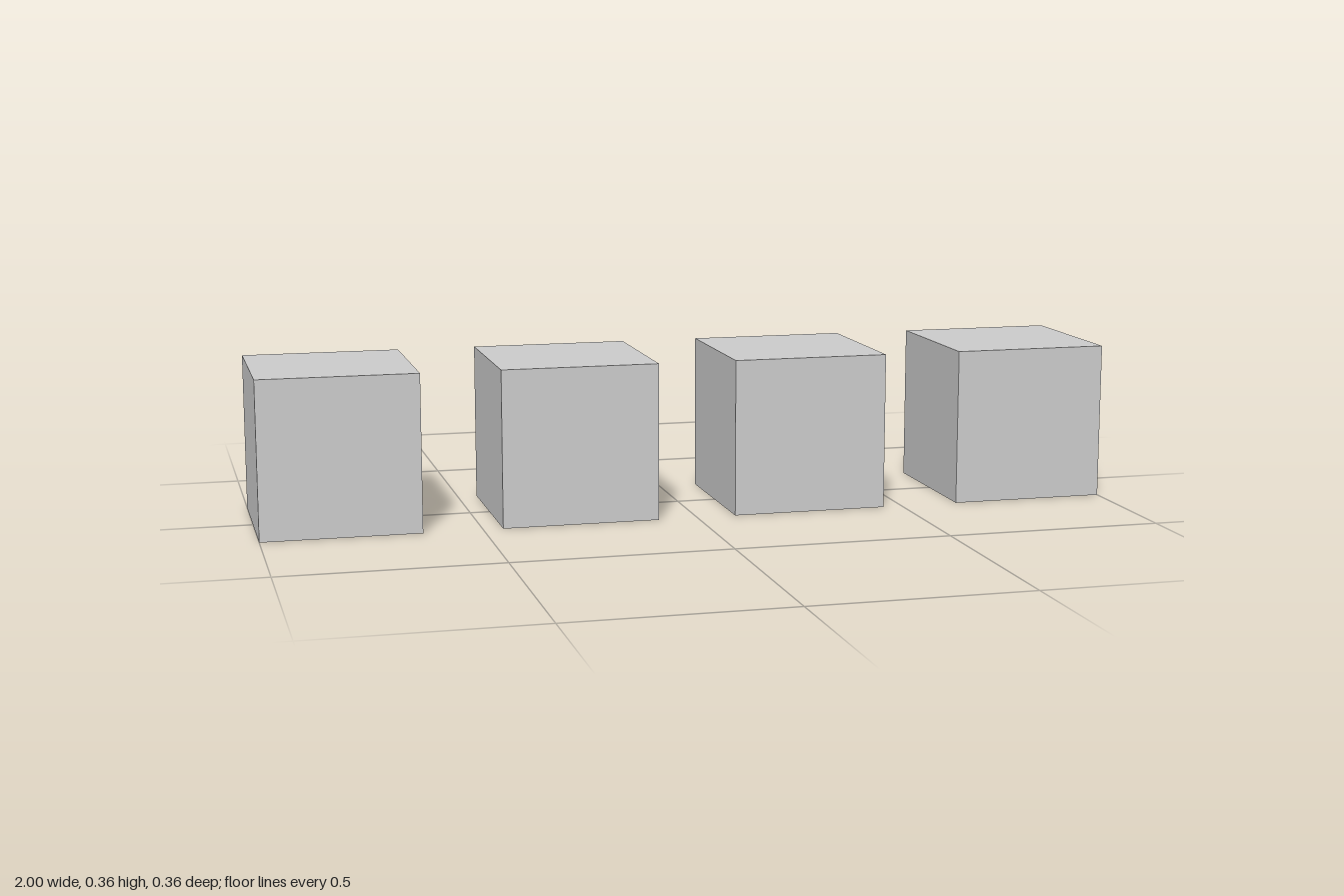
import * as THREE from 'three';

const COUNT = 4;
const SIZE = 2 / 5.5;      // four cubes and three half-cube gaps span 2 units
const PITCH = SIZE * 1.5;

export function createModel() {
  const model = new THREE.Group();
  model.name = 'cubeRow';
  const geometry = new THREE.BoxGeometry(SIZE, SIZE, SIZE);
  const material = new THREE.MeshStandardMaterial({ color: 0xcccccc });

  // Evenly spaced row of cubes standing on the ground
  for (let i = 0; i < COUNT; i++) {
    const cube = new THREE.Mesh(geometry, material);
    cube.name = `cube${i + 1}`;
    cube.position.set((i - (COUNT - 1) / 2) * PITCH, SIZE / 2, 0);
    model.add(cube);
  }
  return model;
}
